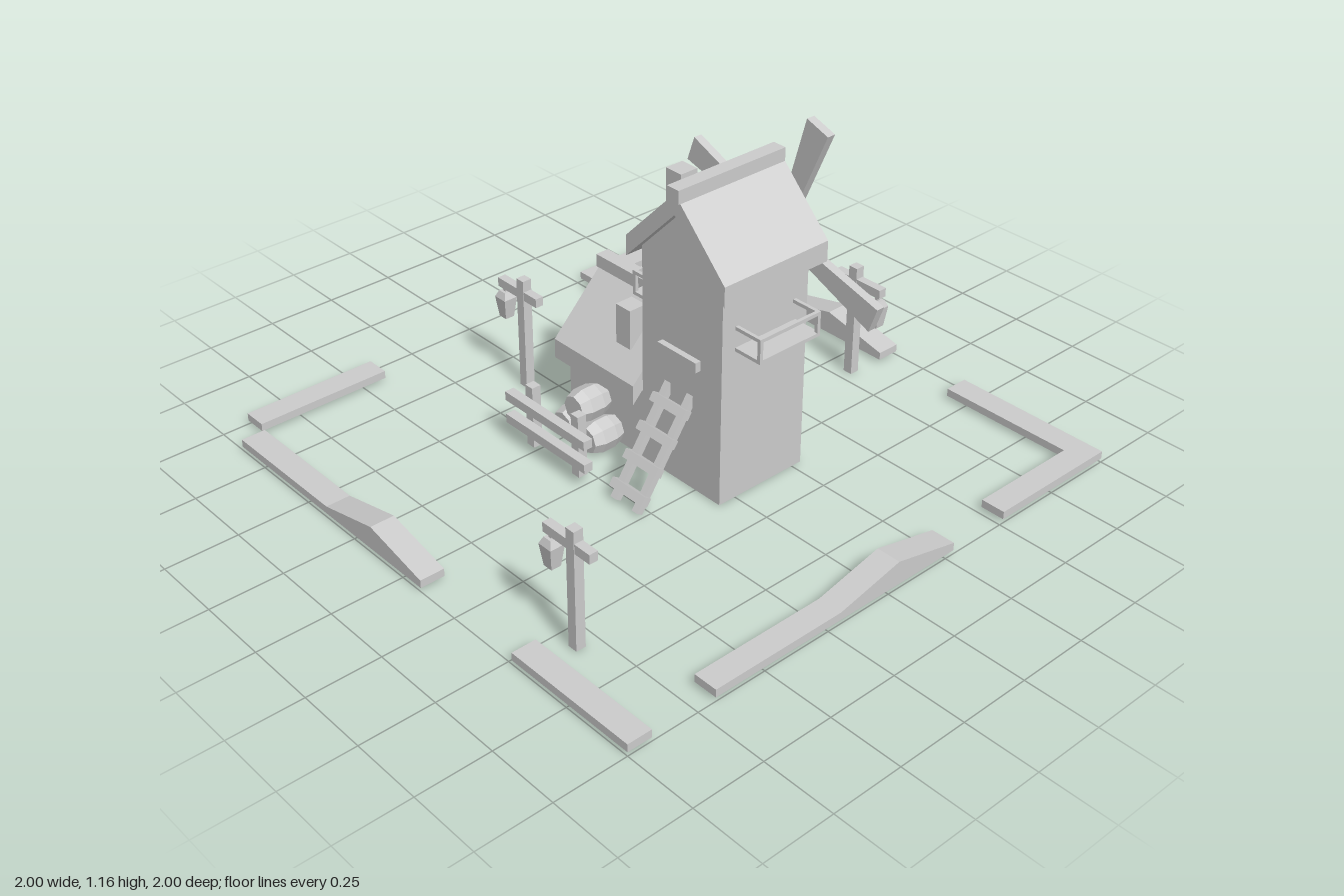
import * as THREE from 'three';

const mat = new THREE.MeshStandardMaterial({ color: 0xcccccc, flatShading: true, side: THREE.DoubleSide });

function add(parent, name, geometry, x = 0, y = 0, z = 0) {
  const mesh = new THREE.Mesh(geometry, mat);
  mesh.name = name;
  mesh.position.set(x, y, z);
  parent.add(mesh);
  return mesh;
}

function group(parent, name, x = 0, y = 0, z = 0) {
  const g = new THREE.Group();
  g.name = name;
  g.position.set(x, y, z);
  parent.add(g);
  return g;
}

// Box given by its minimum and maximum on each axis
function box(parent, name, x0, x1, y0, y1, z0, z1) {
  return add(parent, name, new THREE.BoxGeometry(x1 - x0, y1 - y0, z1 - z0),
    (x0 + x1) / 2, (y0 + y1) / 2, (z0 + z1) / 2);
}

// Outline in x/y extruded from z0 to z1
function extrude(parent, name, points, z0, z1) {
  const shape = new THREE.Shape(points.map(([x, y]) => new THREE.Vector2(x, y)));
  const geometry = new THREE.ExtrudeGeometry(shape, { depth: z1 - z0, bevelEnabled: false });
  return add(parent, name, geometry, 0, 0, z0);
}

// Gabled building, ridge along local z; eave is the underside height of the roof edge
function building(parent, name, eave, wallZ, roofZ, capZ, chimneyX, chimneyZ) {
  const g = group(parent, name, 0.108);
  const ridge = eave + 0.22;
  extrude(g, 'walls', [[-0.177, 0.01], [0.177, 0.01], [0.177, eave + 0.04], [0, ridge], [-0.177, eave + 0.04]], ...wallZ);
  extrude(g, 'roof', [[-0.215, eave], [0, ridge], [0.215, eave],
    [0.215, eave + 0.07], [0, ridge + 0.07], [-0.215, eave + 0.07]], ...roofZ);
  box(g, 'ridgeCap', -0.025, 0.025, ridge + 0.045, ridge + 0.09, ...capZ);
  box(g, 'chimney', chimneyX - 0.033, chimneyX + 0.033, ridge - 0.08, ridge + 0.06, chimneyZ - 0.033, chimneyZ + 0.033);
  return g;
}

// Balcony with a thin floor and rail, projecting towards local +z
function balcony(parent, z, turn) {
  const g = group(parent, 'balcony', 0.11, 0, z);
  g.rotation.y = turn;
  box(g, 'floor', -0.126, 0.126, 0.545, 0.557, 0, 0.105);
  box(g, 'frontRail', -0.126, 0.126, 0.618, 0.63, 0.093, 0.105);
  for (const s of [-1, 1]) {
    add(g, 'sideRail', new THREE.BoxGeometry(0.012, 0.012, 0.105), s * 0.12, 0.624, 0.0525);
    add(g, 'railPost', new THREE.BoxGeometry(0.012, 0.075, 0.012), s * 0.12, 0.588, 0.099);
  }
}

// Four tapered blades on an octagonal bearing
function windmill(parent) {
  const g = group(parent, 'windmillSails', 0.285, 0.75, 0.185);
  g.rotation.y = Math.PI / 2;
  add(g, 'bearing', new THREE.CylinderGeometry(0.08, 0.08, 0.05, 8).rotateX(Math.PI / 2), 0, 0, 0.025);
  add(g, 'hub', new THREE.CylinderGeometry(0.04, 0.04, 0.045, 10).rotateX(Math.PI / 2), 0, 0, 0.068);
  for (let i = 0; i < 4; i++) {
    const blade = extrude(g, 'blade', [[-0.02, 0.02], [0.02, 0.02], [0.046, 0.425], [-0.046, 0.425]], 0.05, 0.08);
    blade.rotation.z = 0.34 + i * Math.PI / 2;
  }
}

function lampPost(parent, x, z, dir) {
  const g = group(parent, 'lampPost', x, 0, z);
  box(g, 'post', -0.017, 0.017, 0.01, 0.42, -0.017, 0.017);
  add(g, 'crossbar', new THREE.BoxGeometry(0.03, 0.032, 0.2), 0, 0.364, dir * 0.02);
  const profile = [[0, 0.235], [0.024, 0.235], [0.037, 0.31], [0.022, 0.333], [0, 0.333]];
  const lantern = new THREE.LatheGeometry(profile.map(([r, y]) => new THREE.Vector2(r, y)), 4);
  add(g, 'lantern', lantern.rotateY(Math.PI / 4), 0, 0, dir * 0.1);
  add(g, 'hook', new THREE.BoxGeometry(0.012, 0.03, 0.012), 0, 0.34, dir * 0.1);
}

function railFence(parent, side, x) {
  const g = group(parent, 'railFence', x);
  for (const z of [-0.28, -0.055])
    add(g, 'fencePost', new THREE.BoxGeometry(0.034, 0.225, 0.034), 0, 0.122, z);
  for (const y of [0.092, 0.177])
    add(g, 'fenceRail', new THREE.BoxGeometry(0.034, 0.032, 0.39), side * 0.034, y, -0.165);
}

// Border strip as a hollow shell: top profile [along, height] with skirts, no underside
function border(parent, profile, x, z, turn) {
  const vertices = [];
  const quad = (a, b, c, d) => vertices.push(...a, ...b, ...c, ...a, ...c, ...d);
  const y0 = 0.02, w = 0.0425, last = profile.length - 1;
  for (let i = 0; i < last; i++) {
    const [a, h] = profile[i], [b, k] = profile[i + 1];
    quad([a, h, w], [b, k, w], [b, k, -w], [a, h, -w]);
    quad([a, y0, w], [b, y0, w], [b, k, w], [a, h, w]);
    quad([b, y0, -w], [a, y0, -w], [a, h, -w], [b, k, -w]);
  }
  const [s, hs] = profile[0], [e, he] = profile[last];
  quad([s, y0, -w], [s, y0, w], [s, hs, w], [s, hs, -w]);
  quad([e, y0, w], [e, y0, -w], [e, he, -w], [e, he, w]);
  const geometry = new THREE.BufferGeometry();
  geometry.setAttribute('position', new THREE.Float32BufferAttribute(vertices, 3));
  geometry.computeVertexNormals();
  add(parent, 'borderStrip', geometry, x, 0, z).rotation.y = turn;
}

export function createModel() {
  const model = new THREE.Group();
  model.name = 'windmillYard';

  // Tower with its ridge running across, and the lower house behind it
  const tower = building(model, 'tower', 0.74, [-0.177, 0.177], [-0.208, 0.217], [-0.215, 0.217], 0.125, -0.066);
  tower.position.z = 0.185;
  tower.rotation.y = Math.PI / 2;
  building(model, 'house', 0.22, [-0.35, 0.01], [-0.38, 0.005], [-0.39, 0.01], -0.12, -0.112);
  windmill(model);
  balcony(model, 0.362, 0);
  balcony(model, 0.008, Math.PI);

  // Sills and door steps
  box(model, 'sideSill', 0.28, 0.305, 0.2, 0.228, 0.11, 0.28);
  box(model, 'sideStep', 0.28, 0.305, 0.01, 0.038, 0.11, 0.28);
  box(model, 'rightSill', -0.09, -0.06, 0.455, 0.49, 0.1, 0.27);
  box(model, 'backSill', 0.025, 0.195, 0.2, 0.228, -0.37, -0.345);

  // Crates
  box(model, 'largeCrate', 0.315, 0.45, 0.015, 0.18, -0.335, -0.17);
  box(model, 'smallCrate', 0.34, 0.43, 0.015, 0.145, -0.16, -0.045);

  // Barrels stacked in a pyramid, lying along x
  const barrelProfile = [[0, -0.06], [0.046, -0.06], [0.058, -0.025], [0.058, 0.025], [0.046, 0.06], [0, 0.06]]
    .map(([r, y]) => new THREE.Vector2(r, y));
  for (const [y, z] of [[0.065, -0.24], [0.065, -0.12], [0.155, -0.18]])
    add(model, 'barrel', new THREE.LatheGeometry(barrelProfile, 8).rotateZ(Math.PI / 2), -0.137, y, z);

  // Ladder leaning on the tower
  const ladder = group(model, 'ladder', -0.275, 0.03, 0.175);
  ladder.rotation.z = -0.6;
  for (const s of [-1, 1])
    add(ladder, 'ladderRail', new THREE.BoxGeometry(0.025, 0.4, 0.025), 0, 0.18, s * 0.05);
  for (let i = 0; i < 4; i++)
    add(ladder, 'rung', new THREE.BoxGeometry(0.03, 0.03, 0.15), -0.012, 0.025 + i * 0.098, 0);

  // Rail fences and lamp posts
  railFence(model, -1, -0.28);
  railFence(model, 1, 0.533);
  lampPost(model, -0.82, 0.58, -1);
  lampPost(model, -0.075, -0.575, -1);
  lampPost(model, 0.803, 0.095, 1);

  // Border strips round the yard: straight ones, then humped ones
  const straight = [[-0.2425, 0.047], [0.2425, 0.047]];
  const humped = [[-0.485, 0.047], [0, 0.047], [0.24, 0.103], [0.485, 0.047]];
  const quarter = Math.PI / 2;
  border(model, straight, -0.6625, -0.9575, 0);
  border(model, straight, 0.7575, -0.9575, 0);
  border(model, straight, 0.7575, 0.9575, 0);
  border(model, straight, -0.9575, 0.7575, quarter);
  border(model, [[-0.2425, 0.047], [0.2425, 0.047]], 0.9575, 0.6725, quarter);
  border(model, [[-0.0425, 0.047], [0.0425, 0.047]], 0.9575, 0.9575, 0);
  border(model, humped, -0.2, 0.9575, 0);
  border(model, humped, -0.9575, -0.395, -quarter);
  border(model, humped, 0.9575, -0.36, -quarter);
  return model;
}
